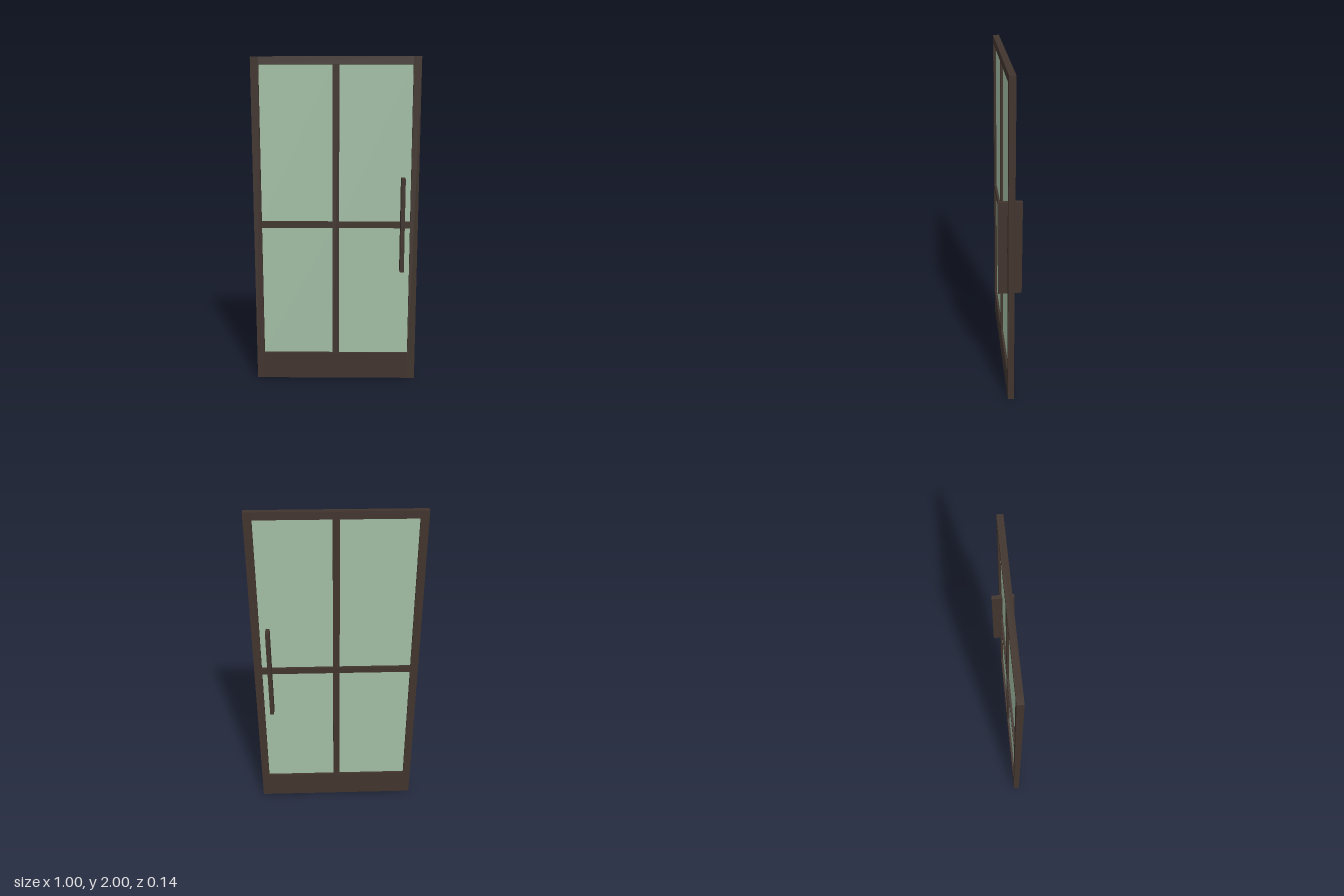
import * as THREE from 'three';

export function createModel() {
  const door = new THREE.Group();
  door.name = 'glazedDoor';

  const darkBrown = new THREE.MeshStandardMaterial({ color: 0x41342d });
  darkBrown.name = 'dark brown';
  const paleGreen = new THREE.MeshStandardMaterial({ color: 0xa2bea5 });
  paleGreen.name = 'pale green glass';

  // Box given by its x and y limits, centred on z = 0
  function addBox(name, x0, x1, y0, y1, depth, material) {
    const mesh = new THREE.Mesh(new THREE.BoxGeometry(x1 - x0, y1 - y0, depth), material);
    mesh.position.set((x0 + x1) / 2, (y0 + y1) / 2, 0);
    mesh.name = name;
    door.add(mesh);
  }

  const depth = 0.036;
  const innerX = 0.453, sill = 0.17, head = 1.955;
  const bar = 0.02, railY = 1.001;

  // Outer frame
  addBox('leftStile', innerX, 0.5, 0, 2, depth, darkBrown);
  addBox('rightStile', -0.5, -innerX, 0, 2, depth, darkBrown);
  addBox('topRail', -innerX, innerX, head, 2, depth, darkBrown);
  addBox('kickPlate', -innerX, innerX, 0, sill, depth, darkBrown);

  // Glazing bars
  addBox('verticalBar', -bar, bar, sill, head, depth, darkBrown);
  for (const [name, x0, x1] of [['leftCrossBar', bar, innerX], ['rightCrossBar', -innerX, -bar]]) {
    addBox(name, x0, x1, railY - bar, railY + bar, depth, darkBrown);
  }

  // Four panes, recessed between the bars
  for (const [side, x0, x1] of [['left', bar, innerX], ['right', -innerX, -bar]]) {
    addBox(side + 'LowerPane', x0, x1, sill, railY - bar, 0.009, paleGreen);
    addBox(side + 'UpperPane', x0, x1, railY + bar, head, 0.009, paleGreen);
  }

  // Pull handle, standing out on both faces
  addBox('pullHandle', 0.392, 0.416, 0.714, 1.29, 0.136, darkBrown);

  return door;
}
